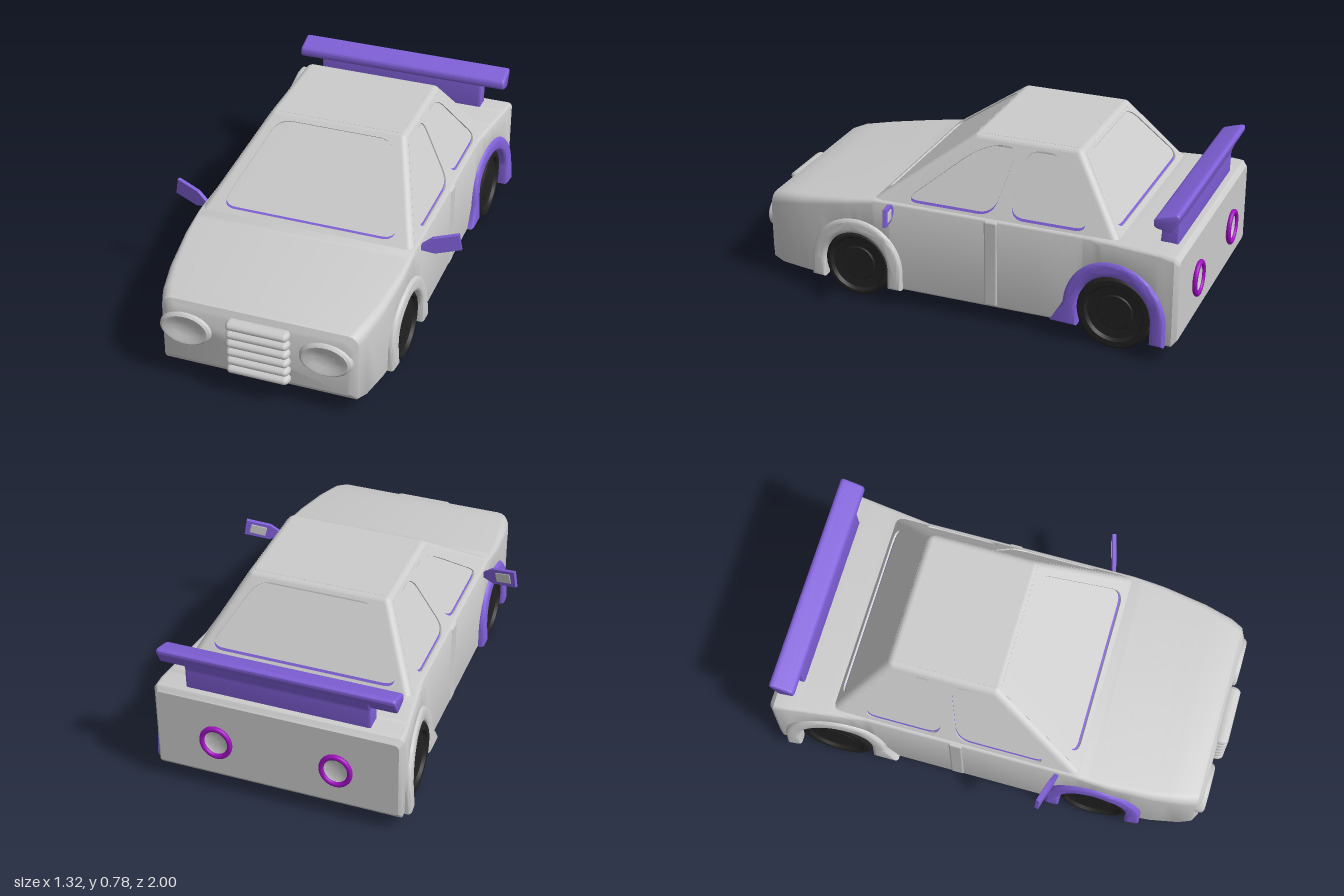
import * as THREE from 'three';
import { toCreasedNormals } from 'three/addons/utils/BufferGeometryUtils.js';
import { RoundedBoxGeometry } from 'three/addons/geometries/RoundedBoxGeometry.js';

const mat = (color) => new THREE.MeshStandardMaterial({ color, side: THREE.DoubleSide });
const GREY = mat(0xcccccc), PURPLE = mat(0x8060d8), MAGENTA = mat(0xa010c0), BLACK = mat(0x222222);
const V3 = (x, y, z) => new THREE.Vector3(x, y, z);

export function createModel() {
  const car = new THREE.Group();
  car.name = 'car';
  const add = (name, geo, material, x = 0, y = 0, z = 0, parent = car) => {
    const m = new THREE.Mesh(geo, material);
    m.name = name;
    m.position.set(x, y, z);
    parent.add(m);
    return m;
  };
  // piecewise linear curve through [z, value] pairs
  const curve = (pts) => (z) => {
    if (z <= pts[0][0]) return pts[0][1];
    for (let i = 1; i < pts.length; i++) {
      const [a, va] = pts[i - 1], [b, vb] = pts[i];
      if (z <= b) return va + (vb - va) * (z - a) / (b - a);
    }
    return pts[pts.length - 1][1];
  };
  const halfWidth = curve([[-0.975, 0.525], [-0.955, 0.54], [-0.9, 0.538], [-0.55, 0.492], [0.55, 0.492], [0.75, 0.475], [0.88, 0.45], [0.935, 0.43], [0.955, 0.4]]);
  const topY = curve([[-0.975, 0.455], [-0.955, 0.475], [-0.9, 0.48], [0.4, 0.48], [0.88, 0.408], [0.935, 0.388], [0.955, 0.35]]);
  const baseY = curve([[-0.975, 0.095], [-0.955, 0.07], [0.88, 0.068], [0.935, 0.078], [0.955, 0.105]]);
  const shoulder = curve([[0.45, 0.02], [0.9, 0.045]]);
  const axles = [
    { name: 'front', z: 0.49, y: 0.155, r: 0.152, well: 0.168, R: 0.2, flare: 0, wheelX: 0.42 },
    { name: 'rear', z: -0.7, y: 0.165, r: 0.165, well: 0.19, R: 0.212, flare: 0.05, wheelX: 0.445 },
  ];

  // body: rounded cross-sections along z, with the wheel wells cut through the underside
  const stations = [-0.975, -0.967, -0.955, -0.9, -0.55, -0.35, 0, 0.4, 0.75, 0.8, 0.88, 0.91, 0.935, 0.947, 0.955];
  for (const a of axles) {
    for (let i = 0; i <= 20; i++) stations.push(a.z + a.well * Math.cos(i * Math.PI / 20));
    stations.push(a.z + a.well + 0.001, a.z - a.well - 0.001);
  }
  stations.sort((a, b) => b - a);
  const section = (z) => {
    let low = baseY(z);
    for (const a of axles) {
      const d = Math.abs(z - a.z);
      if (d < a.well + 0.0005) low = a.y + Math.sqrt(Math.max(0, a.well ** 2 - d * d));
    }
    const w = halfWidth(z), top = topY(z), rt = shoulder(z), pts = [];
    [[1, low, 1, 0.012, -0.5], [1, top, -1, rt, 0], [-1, top, -1, rt, 0.5], [-1, low, 1, 0.012, 1]].forEach(([sx, y, sy, r, t]) => {
      for (let k = 0; k <= 4; k++) {
        const ang = (t + k / 8) * Math.PI;
        pts.push([sx * (w - r) + r * Math.cos(ang), y + sy * r + r * Math.sin(ang), z]);
      }
    });
    return pts;
  };
  const rings = stations.map(section), n = rings[0].length, idx = [];
  for (let i = 0; i < rings.length - 1; i++) for (let j = 0; j < n; j++) {
    const a = i * n + j, b = i * n + (j + 1) % n;
    idx.push(a, a + n, b, b, a + n, b + n);
  }
  const last = (rings.length - 1) * n;
  for (let j = 1; j < n - 1; j++) idx.push(0, j, j + 1, last, last + j + 1, last + j);
  const bodyGeo = new THREE.BufferGeometry();
  bodyGeo.setAttribute('position', new THREE.Float32BufferAttribute(rings.flat(2), 3));
  bodyGeo.setIndex(idx);
  add('body', toCreasedNormals(bodyGeo, 0.6), GREY);

  // closed outline with softened corners
  const softOutline = (pts, r, path) => {
    const p = pts.map(([x, y]) => new THREE.Vector2(x, y)), k = p.length;
    p.forEach((c, i) => {
      const toward = (q) => c.clone().add(q.clone().sub(c).setLength(Math.min(r, q.distanceTo(c) * 0.45)));
      const s = toward(p[(i + k - 1) % k]), e = toward(p[(i + 1) % k]);
      if (i) path.lineTo(s.x, s.y); else path.moveTo(s.x, s.y);
      path.quadraticCurveTo(c.x, c.y, e.x, e.y);
    });
    path.closePath();
    return path;
  };

  // cabin: flat panels with window openings, joined by round edges
  const EDGE = 0.035;
  const [FL, FR, RL, RR] = [V3(0.456, 0.445, 0.392), V3(-0.456, 0.445, 0.392), V3(0.456, 0.445, -0.679), V3(-0.456, 0.445, -0.679)];
  const [fl, fr, rl, rr] = [V3(0.289, 0.745, -0.011), V3(-0.289, 0.745, -0.011), V3(0.289, 0.745, -0.457), V3(-0.289, 0.745, -0.457)];
  const panel = (name, [bl, br, tr, tl], windows) => {
    const g = new THREE.Group();
    g.name = name;
    car.add(g);
    const U = br.clone().sub(bl).normalize(), side = tl.clone().sub(bl);
    const Vv = side.addScaledVector(U, -side.dot(U)).normalize(), N = U.clone().cross(Vv);
    const local = (p) => new THREE.Vector2(p.dot(U), p.clone().sub(bl).dot(Vv));
    const shape = new THREE.Shape([bl, br, tr, tl].map(local));
    for (const w of windows) {
      const pts = w.map(([u, y]) => [u, (y - EDGE * N.y - bl.y) / Vv.y]);
      shape.holes.push(softOutline(pts, 0.07, new THREE.Path()));
      const pane = new THREE.ShapeGeometry(softOutline(pts, 0.07, new THREE.Shape()));
      add('windowSeal', pane, PURPLE, 0, 0, EDGE - 0.009, g);
      add('windowPane', pane, GREY, 0, 0.012, EDGE - 0.005, g);
    }
    add('panel', new THREE.ExtrudeGeometry(shape, { depth: EDGE, bevelEnabled: false }), GREY, 0, 0, 0, g);
    g.quaternion.setFromRotationMatrix(new THREE.Matrix4().makeBasis(U, Vv, N));
    g.position.copy(bl).addScaledVector(U, -bl.dot(U));
  };
  panel('windshield', [FR, FL, fl, fr], [[[-0.4, 0.495], [0.4, 0.495], [0.265, 0.762], [-0.265, 0.762]]]);
  panel('rearWindow', [RL, RR, rr, rl], [[[-0.42, 0.5], [0.42, 0.5], [0.26, 0.757], [-0.26, 0.757]]]);
  const sideWindows = [
    [[0.27, 0.49], [0, 0.71], [-0.1, 0.754], [-0.2, 0.754], [-0.14, 0.49]],
    [[-0.21, 0.49], [-0.245, 0.754], [-0.4, 0.754], [-0.57, 0.49]],
  ];
  const sideHoles = (s) => sideWindows.map((w) => w.map(([z, y]) => [s * z, y]));
  panel('leftSide', [FL, RL, rl, fl], sideHoles(-1));
  panel('rightSide', [RR, FR, fr, rr], sideHoles(1));
  add('roof', new THREE.BoxGeometry(0.578, EDGE, 0.446), GREY, 0, 0.745 + EDGE / 2, -0.234);
  for (const [a, b] of [[FL, fl], [FR, fr], [RL, rl], [RR, rr], [fl, fr], [rl, rr], [fl, rl], [fr, rr]]) {
    const d = b.clone().sub(a), mid = a.clone().add(b).multiplyScalar(0.5);
    const m = add('cabinEdge', new THREE.CapsuleGeometry(EDGE - 0.0006, d.length(), 10, 40), GREY, mid.x, mid.y, mid.z);
    m.quaternion.setFromUnitVectors(V3(0, 1, 0), d.normalize());
  }

  // wheels and arches; the arches follow the body and lean in towards the top
  const lathe = (pts, seg = 40) => toCreasedNormals(new THREE.LatheGeometry(pts.map(([x, y]) => new THREE.Vector2(x, y)), seg), 0.6);
  for (const a of axles) {
    const half = [[0, 0.062], [0.075, 0.062], [0.08, 0.057], [0.12, 0.06], [0.13, 0.074], [a.r - 0.012, 0.074], [a.r, 0.064]];
    const wheel = lathe([...half.map(([x, y]) => [x, -y]), ...half.reverse()]).rotateZ(-Math.PI / 2);
    const low = 0.09 - a.y, r = a.r + 0.018, R = a.R;
    const arch = new THREE.Shape();
    arch.moveTo(R, low).lineTo(R, 0).absarc(0, 0, R, 0, Math.PI, false);
    arch.lineTo(-R - a.flare, low).lineTo(-r, low).lineTo(-r, 0).absarc(0, 0, r, Math.PI, 0, true).lineTo(r, low);
    const bent = new THREE.ExtrudeGeometry(arch, { depth: 0.03, bevelSize: 0.018, bevelThickness: 0.018, bevelSegments: 6, curveSegments: 28 });
    bent.rotateY(Math.PI / 2).translate(-0.018, a.y, a.z);
    const p = bent.attributes.position;
    for (let i = 0; i < p.count; i++) p.setX(i, p.getX(i) + halfWidth(p.getZ(i)) - 0.06 * (p.getY(i) - 0.09));
    const archGeo = toCreasedNormals(bent, 0.8);
    for (const s of [1, -1]) {
      add(a.name + 'Wheel', wheel, BLACK, s * a.wheelX, a.y, a.z);
      const purple = (a.name === 'rear') === (s > 0);
      add(a.name + 'Arch', archGeo, purple ? PURPLE : GREY).scale.x = s;
    }
  }

  // headlights, tail lights, door posts and mirrors on both sides
  const headlight = lathe([[0.112, 0], [0.117, 0.03], [0.112, 0.046], [0.1, 0.054], [0.085, 0.052], [0.055, 0.041], [0.025, 0.037], [0, 0.036]]).rotateX(Math.PI / 2);
  const tailDish = lathe([[0.07, 0], [0.066, 0.018], [0.055, 0.01], [0.03, 0.004], [0, 0.003]]).rotateX(-Math.PI / 2);
  const mirrorShape = new THREE.Shape([[0, 0], [0.06, -0.015], [0.172, 0.008], [0.16, 0.08], [0.05, 0.056], [0, 0.018]].map(([x, y]) => new THREE.Vector2(x, y)));
  const mirrorGeo = new THREE.ExtrudeGeometry(mirrorShape, { depth: 0.014, bevelSize: 0.002, bevelThickness: 0.002, bevelSegments: 2 });
  for (const s of [1, -1]) {
    add('headlight', headlight, GREY, s * 0.307 - 0.01, 0.265, 0.92).scale.y = 0.68;
    add('tailLightRing', new THREE.TorusGeometry(0.062, 0.011, 12, 40), MAGENTA, s * 0.262, 0.265, -0.987).scale.y = 1.12;
    add('tailLightDish', tailDish, GREY, s * 0.262, 0.265, -0.975).scale.set(0.92, 1.03, 1);
    add('doorPost', new RoundedBoxGeometry(0.03, 0.4, 0.065, 3, 0.012), GREY, s * 0.481, 0.274, -0.14);
    const mirror = new THREE.Group();
    mirror.name = 'mirror';
    add('mirrorShell', mirrorGeo, PURPLE, 0, 0, 0, mirror);
    add('mirrorGlass', new RoundedBoxGeometry(0.075, 0.045, 0.006, 2, 0.002), GREY, 0.108, 0.032, -0.002, mirror).rotation.z = 0.23;
    mirror.rotation.y = s * 0.27;
    mirror.scale.x = s;
    mirror.position.set(s * 0.487, 0.438, 0.31);
    car.add(mirror);
  }

  // grille bars
  for (let i = 0; i < 6; i++) {
    add('grilleBar', new THREE.CapsuleGeometry(0.021, 0.235, 6, 16).rotateZ(Math.PI / 2), GREY, 0.008, 0.127 + i * 0.0435, 0.965).scale.z = 1.66;
  }

  // spoiler: wide wing on a narrower blade
  const acrossCar = (pts, width) => toCreasedNormals(new THREE.ExtrudeGeometry(softOutline(pts, 0.012, new THREE.Shape()),
    { depth: width - 0.024, bevelSize: 0.006, bevelThickness: 0.012, bevelSegments: 4 }).translate(0, 0, 0.012 - width / 2).rotateY(Math.PI / 2), 0.6);
  add('spoilerWing', acrossCar([[0.86, 0.595], [0.925, 0.58], [0.958, 0.643], [0.953, 0.655], [0.87, 0.63], [0.86, 0.62]], 1.02), PURPLE, 0.008);
  add('spoilerBlade', acrossCar([[0.86, 0.465], [0.925, 0.465], [0.927, 0.57], [0.945, 0.62], [0.87, 0.61]], 0.8), PURPLE, 0.008);
  return car;
}
